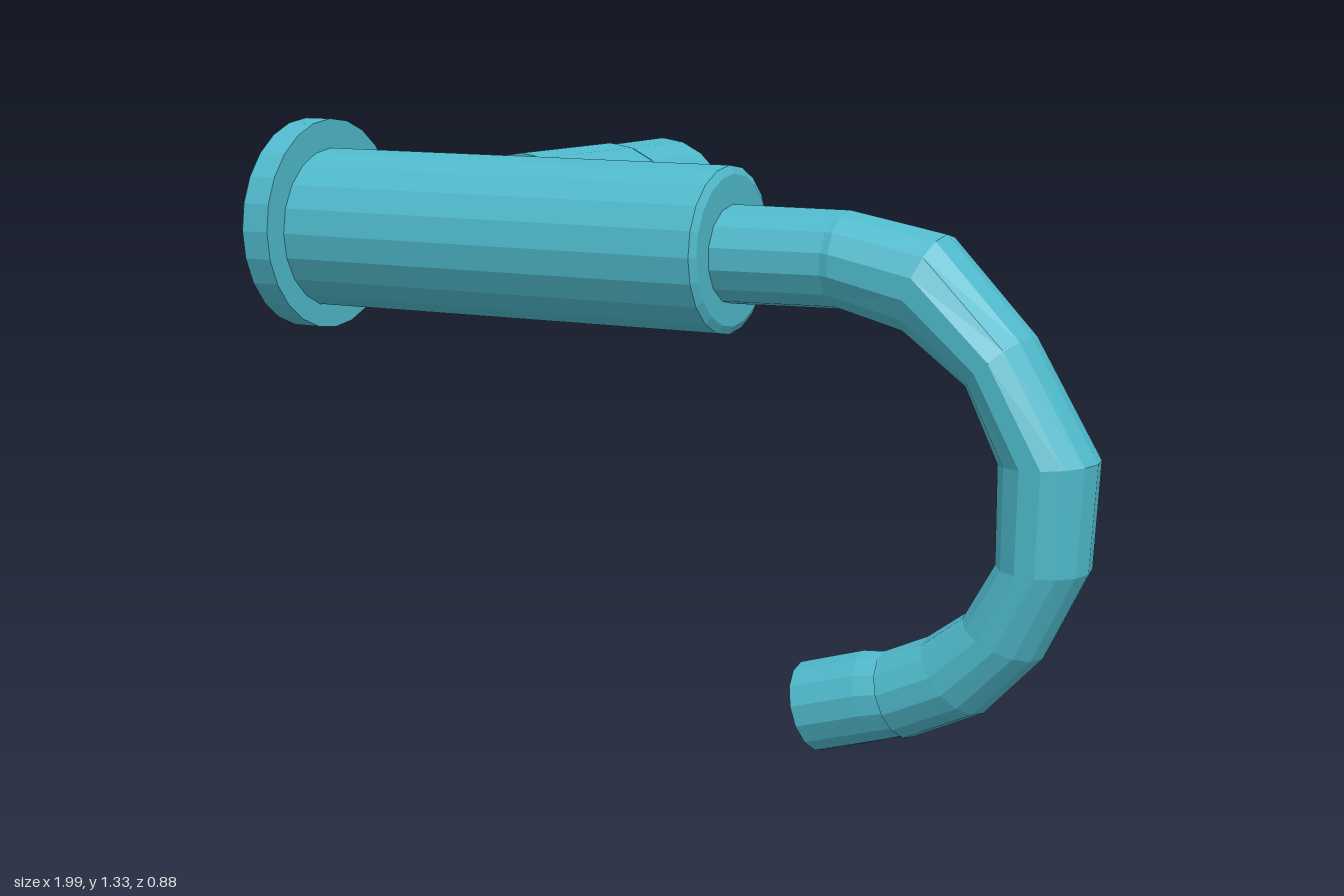
import * as THREE from 'three';

const AXIS_Y = 1.09, AXIS_Z = 0.19;

// Turned part: profile of [radius, position along the axis]
function turned(name, profile, sides, material) {
  const points = profile.map(([r, t]) => new THREE.Vector2(r, t));
  const mesh = new THREE.Mesh(new THREE.LatheGeometry(points, sides), material);
  mesh.name = name;
  return mesh;
}

// Bent tube in the xy plane: each row is [outer x, outer y, inner x, inner y, z radius]
function bentTube(rows, sides) {
  const pos = [], index = [];
  for (const [ox, oy, ix, iy, rz] of rows) {
    for (let j = 0; j < sides; j++) {
      const a = (j / sides) * Math.PI * 2, c = Math.cos(a) / 2;
      pos.push((ox + ix) / 2 + (ox - ix) * c, (oy + iy) / 2 + (oy - iy) * c, Math.sin(a) * rz);
    }
  }
  for (let i = 0; i < rows.length - 1; i++) {
    for (let j = 0; j < sides; j++) {
      const a = i * sides + j, b = i * sides + (j + 1) % sides;
      index.push(a, b, a + sides, b, b + sides, a + sides);
    }
  }
  const geometry = new THREE.BufferGeometry();
  geometry.setAttribute('position', new THREE.Float32BufferAttribute(pos, 3));
  geometry.setIndex(index);
  geometry.computeVertexNormals();
  return geometry;
}

export function createModel() {
  const model = new THREE.Group();
  model.name = 'wallTap';
  const teal = new THREE.MeshStandardMaterial({ color: 0x4fb9cb, flatShading: true, side: THREE.DoubleSide });
  teal.name = 'teal';

  // Wall flange (grooved back) and main body, along x
  const alongX = [
    turned('wallFlange', [[0, -0.97], [0.15, -0.97], [0.155, -0.94], [0.19, -0.94], [0.2, -1],
      [0.235, -1], [0.245, -0.99], [0.245, -0.92], [0.17, -0.92]], 24, teal),
    turned('body', [[0.17, -0.93], [0.185, -0.93], [0.183, 0.14], [0.165, 0.15], [0, 0.15]], 20, teal),
  ];
  for (const mesh of alongX) {
    mesh.rotation.z = -Math.PI / 2;
    mesh.position.set(0, mesh.name === 'wallFlange' ? 1.098 : AXIS_Y, AXIS_Z);
    model.add(mesh);
  }

  // Valve neck and turning knob, branching to the back
  const valve = [
    turned('valveNeck', [[0, 0], [0.185, 0], [0.185, 0.385], [0.17, 0.39], [0.17, 0.405]], 20, teal),
    turned('valveKnob', [[0, 0.4], [0.181, 0.4], [0.183, 0.635], [0, 0.635]], 20, teal),
  ];
  for (const mesh of valve) {
    mesh.rotation.x = -Math.PI / 2;
    mesh.position.set(-0.39, 1.096, AXIS_Z);
    model.add(mesh);
  }

  // Lever with a small collar and a hollow tip
  const lever = turned('lever', [[0, -0.23], [0.042, -0.23], [0.04, -0.185], [0.026, -0.18],
    [0.028, 0.14], [0.031, 0.175], [0.018, 0.175], [0.018, 0.15], [0, 0.15]], 10, teal);
  lever.rotation.z = -Math.PI / 2;
  lever.position.set(0, 1.1, -0.333);
  model.add(lever);

  // Hooked spout
  const spout = new THREE.Mesh(bentTube([
    [0.13, 1.19, 0.13, 0.975, 0.112],
    [0.41, 1.19, 0.41, 0.98, 0.107],
    [0.43, 1.19, 0.43, 0.977, 0.113],
    [0.65, 1.15, 0.57, 0.94, 0.113],
    [0.84, 0.95, 0.71, 0.84, 0.113],
    [0.99, 0.70, 0.78, 0.69, 0.113],
    [0.975, 0.47, 0.78, 0.48, 0.113],
    [0.88, 0.28, 0.71, 0.36, 0.113],
    [0.75, 0.145, 0.62, 0.295, 0.113],
    [0.59, 0.07, 0.52, 0.25, 0.108],
  ], 14), teal);
  spout.name = 'spout';

  // Nozzle with an open bore
  const nozzle = new THREE.Mesh(bentTube([
    [0.59, 0.075, 0.53, 0.25, 0.1],
    [0.53, 0.055, 0.47, 0.245, 0.102],
    [0.38, 0.01, 0.32, 0.2, 0.1],
    [0.374, 0.03, 0.326, 0.18, 0.08],
    [0.444, 0.055, 0.396, 0.205, 0.08],
    [0.42, 0.13, 0.42, 0.13, 0],
  ], 14), teal);
  nozzle.name = 'nozzle';
  for (const mesh of [spout, nozzle]) {
    mesh.position.z = 0.193;
    model.add(mesh);
  }

  return model;
}
